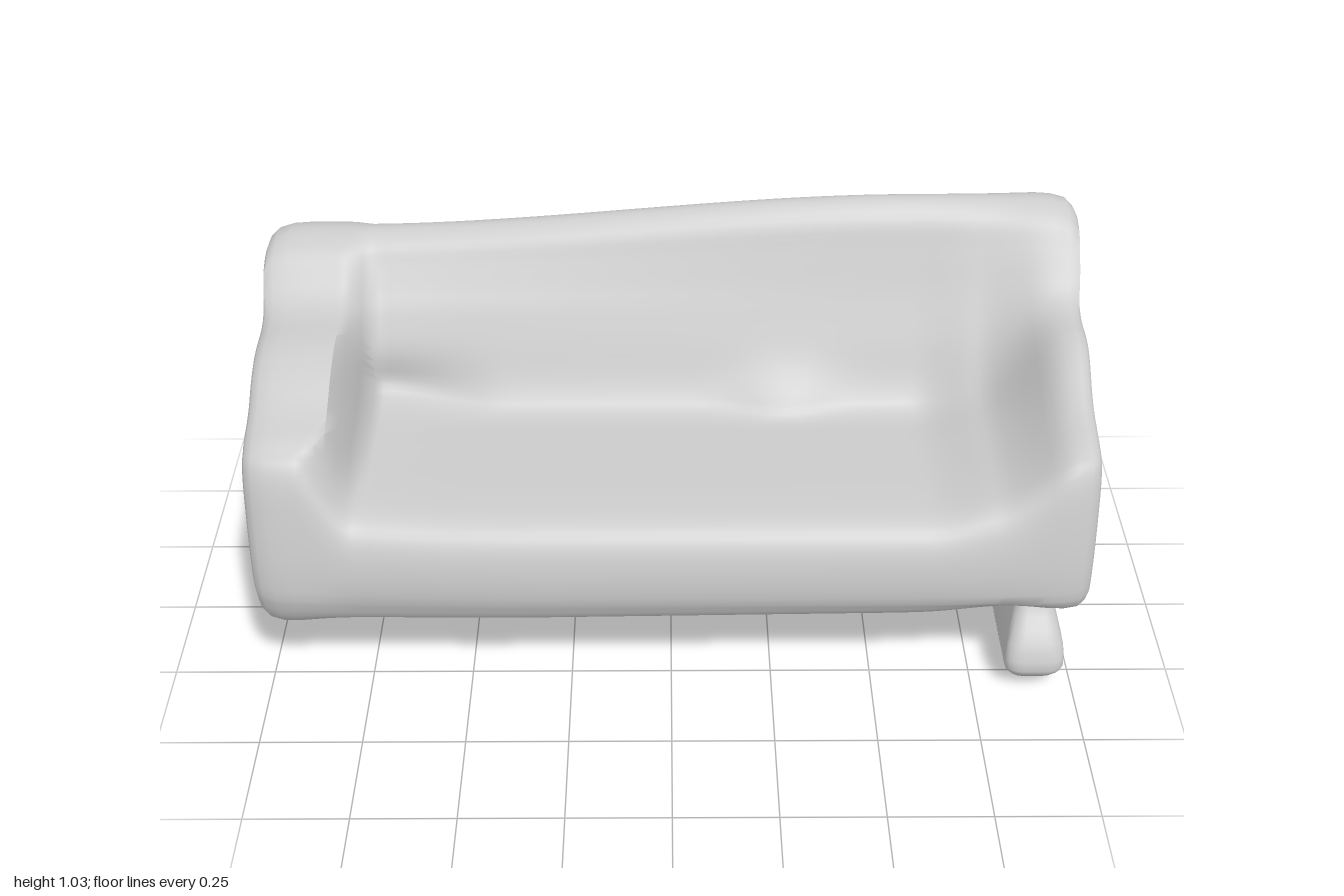
import * as THREE from 'three';
import { toCreasedNormals } from 'three/addons/utils/BufferGeometryUtils.js';

const { lerp, smoothstep } = THREE.MathUtils;
const curve = pts => new THREE.SplineCurve(pts.map(p => new THREE.Vector2(...p)));
const bump = (v, centre, width) => Math.exp(-(((v - centre) / width) ** 2));

// Closed side profiles as [z, y]: underside, front, seat or arm, backrest, rear.
const SEAT = [[-0.34, 0.21], [-0.1, 0.23], [0.2, 0.24], [0.34, 0.265], [0.39, 0.31], [0.41, 0.4], [0.395, 0.5],
  [0.35, 0.55], [0.25, 0.562], [0.05, 0.562], [-0.07, 0.565], [-0.12, 0.61], [-0.17, 0.72], [-0.22, 0.83],
  [-0.26, 0.93], [-0.29, 1.0], [-0.34, 1.035], [-0.385, 1.0], [-0.39, 0.9], [-0.38, 0.6], [-0.36, 0.28], [-0.34, 0.21]];
const ARM = [[-0.34, 0.2], [-0.1, 0.2], [0.12, 0.21], [0.33, 0.26], [0.4, 0.32], [0.41, 0.42], [0.385, 0.58],
  [0.355, 0.69], [0.31, 0.73], [0.18, 0.77], [0.06, 0.83], [-0.01, 0.85], [-0.1, 0.855], [-0.16, 0.88],
  [-0.22, 0.95], [-0.27, 1.01], [-0.34, 1.035], [-0.4, 1.0], [-0.405, 0.88], [-0.375, 0.55], [-0.36, 0.28], [-0.34, 0.2]];

// Height of the backrest along the width, higher at the model's left end.
const backTop = x => lerp(0.95, 1.035, smoothstep(x, -0.8, 0.6));

// How much of the arm profile applies: steep on one side, rounding off to the front; gentle on the other.
function armWeight(x, z) {
  const shoulder = lerp(-0.8, -0.87, smoothstep(z, 0.1, 0.35));
  if (x < 0) return 0.92 * (1 - smoothstep(x, shoulder, -0.73)) + 0.08 * smoothstep(-x, 0.5, 0.9);
  return 0.3 * smoothstep(x, 0.6, 0.82) + 0.7 * smoothstep(x, 0.76, 0.96);
}

// Uneven details of the sagging body, applied to one profile point.
function shapePoint(p, x) {
  if (p.y > 0.8) p.y = 0.8 + (p.y - 0.8) * (backTop(x) - 0.8) / 0.235;
  // seat corner recedes beside the steep arm and bulges a little past the middle
  const corner = bump(p.x, -0.1, 0.06) * bump(p.y, 0.6, 0.08);
  p.x += corner * (0.03 * bump(x, 0.28, 0.12) - 0.05 * smoothstep(-x, 0.4, 0.72));
  if (p.y < 0.35) {
    const low = (0.35 - p.y) / 0.12;
    p.y += 0.025 * x * low + 0.01;
    // raised lip over the foot, and worn stubs below the opposite corners
    p.y += low * 0.04 * bump(x, 0.8, 0.12) * bump(p.x, 0.36, 0.1);
    const rearStub = low * bump(x, -0.95, 0.12) * bump(p.x, -0.36, 0.06);
    p.y -= 0.045 * rearStub + 0.03 * low * bump(x, -0.95, 0.12) * bump(p.x, 0.31, 0.08);
    p.x -= 0.03 * rearStub;
  }
  if (p.x > 0.3) p.x -= 0.015 * smoothstep(-x, 0.3, 1);
  // rear corner pinched in below the top of the backrest
  if (p.x < -0.28) p.x += 0.035 * smoothstep(x, 0.9, 0.99) * bump(p.y, 0.6, 0.22);
  return p;
}

// Ends draw in slightly below the backrest top, most of all at the pinched rear corner.
function endInset(x, p) {
  const pinch = x > 0 ? 0.035 * smoothstep(-p.x, 0.2, 0.36) * bump(p.y, 0.6, 0.2) : 0;
  return Math.sign(x) * smoothstep(Math.abs(x), 0.85, 1) * (0.012 * (1 - smoothstep(p.y, 0.75, 0.95)) + pinch);
}

function bodyGeometry() {
  const seat = curve(SEAT), arm = curve(ARM), N = 84;
  // Stations as [x, scale]; the end rings shrink to round the edges.
  const stations = [[-1, 0.9], [-0.993, 0.94], [-0.975, 0.975], [-0.94, 0.995]];
  for (let x = -0.9; x < 0.905; x += 0.02) stations.push([x, 1]);
  stations.push([0.94, 0.995], [0.975, 0.98], [0.992, 0.95], [1, 0.92]);
  const pos = [], idx = [];
  for (const [x, s] of stations) {
    for (let j = 0; j < N; j++) {
      const p = seat.getPoint(j / N);
      shapePoint(p.lerp(arm.getPoint(j / N), armWeight(x, p.x)), x);
      pos.push(x - endInset(x, p), 0.55 + (p.y - 0.55) * s, p.x * s);
    }
  }
  const last = stations.length - 1;
  for (let i = 0; i < last; i++) for (let j = 0; j < N; j++) {
    const k = (j + 1) % N, a = i * N + j, b = i * N + k, c = b + N, d = a + N;
    idx.push(a, d, c, a, c, b);
  }
  // End panels
  const c0 = pos.length / 3;
  pos.push(-0.985, 0.5, 0, 0.98, 0.5, 0);
  for (let j = 0; j < N; j++) {
    const k = (j + 1) % N;
    idx.push(c0, j, k, c0 + 1, last * N + k, last * N + j);
  }
  const g = new THREE.BufferGeometry();
  g.setAttribute('position', new THREE.Float32BufferAttribute(pos, 3));
  g.setIndex(idx);
  return toCreasedNormals(g, 0.9);
}

// Long foot: side outline extruded across x, pinched in towards the top and the ground.
function footGeometry() {
  const outline = curve([[0.31, 0.08], [0.29, 0.13], [0.23, 0.2], [0.2, 0.26], [0.08, 0.26], [-0.02, 0.24],
    [-0.12, 0.22], [-0.15, 0.16], [-0.155, 0.11], [-0.2, 0.085], [-0.31, 0.09], [-0.335, 0.055], [-0.31, 0.03],
    [-0.2, 0.045], [0.05, 0.065], [0.27, 0.058], [0.31, 0.08]]);
  const g = new THREE.ExtrudeGeometry(new THREE.Shape(outline.getPoints(48)), {
    depth: 0.06, bevelThickness: 0.042, bevelSize: 0.028, bevelSegments: 5, curveSegments: 1 });
  g.translate(0, 0, -0.03).rotateY(-Math.PI / 2);
  const p = g.attributes.position;
  for (let i = 0; i < p.count; i++) {
    const y = p.getY(i);
    p.setX(i, 0.9 + p.getX(i) * lerp(1, 0.6, smoothstep(y, 0.1, 0.25)) * lerp(0.75, 1, smoothstep(y, 0, 0.08)));
  }
  return toCreasedNormals(g, 0.9);
}

export function createModel() {
  const group = new THREE.Group();
  const material = new THREE.MeshStandardMaterial({ color: 0xcccccc });
  const add = (name, geometry) => {
    const mesh = new THREE.Mesh(geometry, material);
    mesh.name = name;
    group.add(mesh);
  };
  add('sofaBody', bodyGeometry());
  add('longFoot', footGeometry());
  return group;
}
